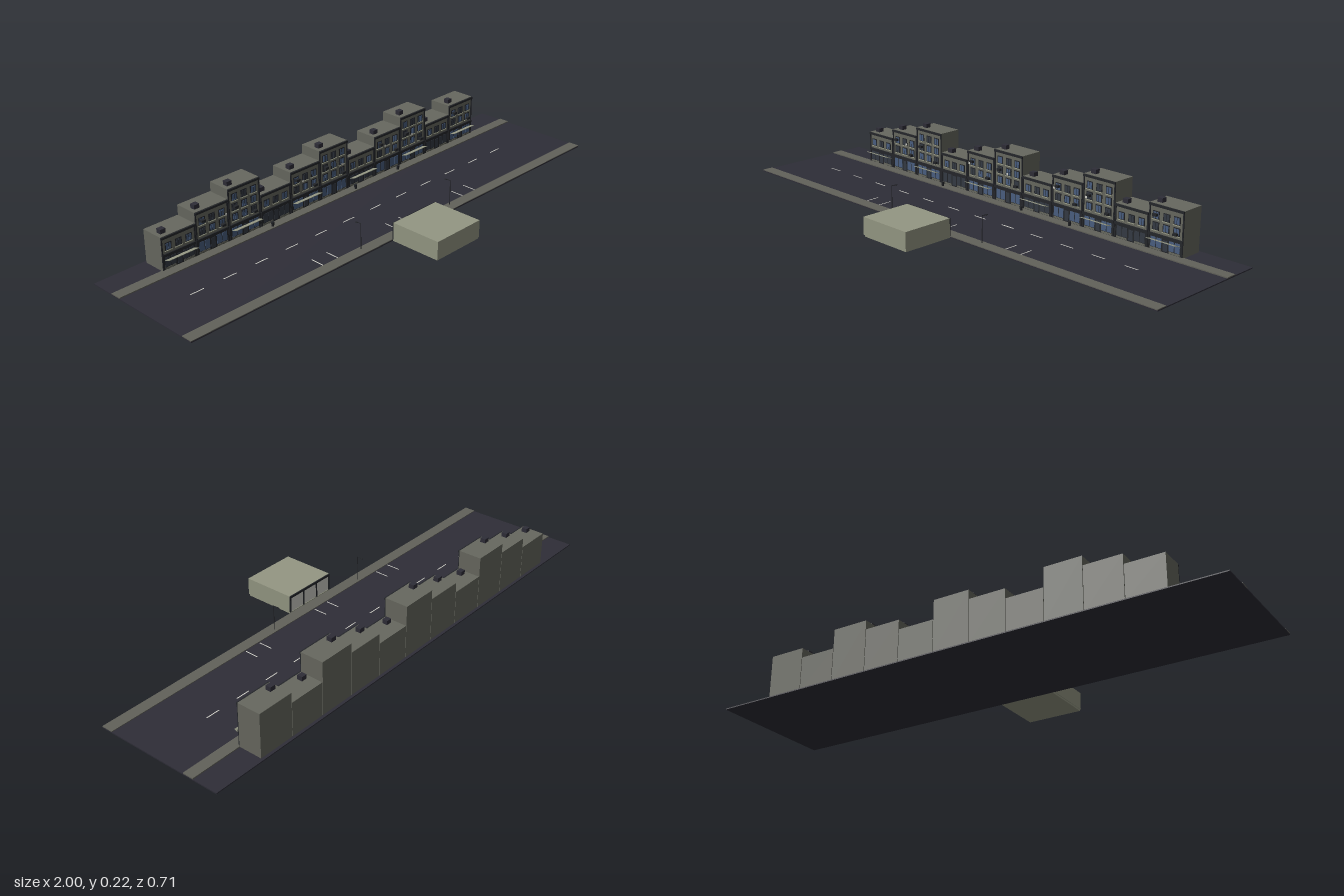
import * as THREE from 'three';

const mat = (name, color) => new THREE.MeshStandardMaterial({ name, color });

export function createModel() {
  const M = {
    road: mat('asphalt', 0x2e2d37),
    walk: mat('pavement', 0x62625a),
    wall: mat('wall stone', 0x67685f),
    shop: mat('pale khaki', 0x949783),
    trim: mat('dark trim', 0x24262a),
    glass: mat('blue glass', 0x4a5f80),
    dim: mat('dim glass', 0x343a44),
    pale: mat('pale paint', 0xd0d0c8),
  };
  const root = new THREE.Group();
  root.name = 'street';

  // box given by its min and max corners
  const box = (parent, name, m, x0, x1, y0, y1, z0, z1) => {
    const mesh = new THREE.Mesh(new THREE.BoxGeometry(x1 - x0, y1 - y0, z1 - z0), m);
    mesh.position.set((x0 + x1) / 2, (y0 + y1) / 2, (z0 + z1) / 2);
    mesh.name = name;
    parent.add(mesh);
    return mesh;
  };
  const group = (name) => {
    const g = new THREE.Group();
    g.name = name;
    root.add(g);
    return g;
  };

  // ground and pavements
  box(root, 'road', M.road, -1, 1, 0, 0.004, -0.357, 0.148);
  box(root, 'rearPavement', M.walk, -1, 1, 0.004, 0.008, -0.258, -0.216);
  box(root, 'frontPavement', M.walk, -1, 1, 0.004, 0.007, 0.104, 0.148);

  // lane dashes and parking lines
  const marks = group('roadMarkings');
  for (let k = 0; k < 12; k++) {
    const x = -0.8 + k * 0.139;
    box(marks, 'laneDash', M.pale, x - 0.028, x + 0.028, 0.004, 0.0046, -0.0735, -0.0695);
  }
  for (const x of [-0.4, -0.33, -0.037, 0.032, 0.326, 0.396])
    box(marks, 'parkingLine', M.pale, x - 0.0018, x + 0.0018, 0.004, 0.0046, 0.045, 0.1);

  // terraced buildings
  const F = -0.255; // facade plane
  const window3 = (g, x, y, m) => {
    box(g, 'windowFrame', M.trim, x - 0.0135, x + 0.0135, y - 0.015, y + 0.014, F, F + 0.002);
    for (const s of [-1, 1])
      box(g, 'windowPane', m, x + s * 0.0055 - 0.0045, x + s * 0.0055 + 0.0045, y - 0.012, y + 0.011, F + 0.002, F + 0.003);
    box(g, 'windowSill', M.shop, x - 0.015, x + 0.015, y - 0.017, y - 0.0145, F, F + 0.005);
  };

  for (let i = 0; i < 11; i++) {
    const g = group('building' + (i + 1));
    const type = i % 3, H = [0.132, 0.17, 0.206][type];
    const cx = (i - 5) * 0.145, w = 0.0715;
    box(g, 'walls', M.wall, cx - w, cx + w, 0.004, H, -0.346, F);
    box(g, 'chimney', M.road, cx - 0.056, cx - 0.034, H, H + 0.016, -0.294, -0.273);

    // cornices and corner strips
    box(g, 'cornice', M.trim, cx - w, cx + w, H - 0.009, H - 0.001, F, F + 0.006);
    box(g, 'shopFascia', M.trim, cx - w, cx + w, 0.057, 0.066, F, F + 0.005);
    for (const s of [-1, 1])
      box(g, 'cornerStrip', M.trim, cx + s * 0.069 - 0.0025, cx + s * 0.069 + 0.0025, 0.008, H - 0.009, F, F + 0.003);

    // upper windows
    for (let r = 0; r <= type; r++) {
      const y = 0.092 + r * 0.0385;
      for (let c = -1; c <= 1; c++)
        window3(g, cx + c * 0.043, y, (i + r * 2 + c) % 3 ? M.glass : M.dim);
    }
    if (type > 0) {
      box(g, 'airConditioner', M.trim, cx + 0.035, cx + 0.051, 0.08, 0.089, F, F + 0.014);
      box(g, 'airConditioner', M.trim, cx - 0.051, cx - 0.035, 0.128, 0.137, F, F + 0.014);
    }

    // shopfront: two glazed bays and a central door
    box(g, 'shopFrame', M.trim, cx - 0.066, cx + 0.066, 0.008, 0.057, F, F + 0.002);
    const pane = type ? M.glass : M.dim;
    for (const s of [-1, 1])
      for (const o of [0.026, 0.05])
        box(g, 'shopPane', pane, cx + s * o - 0.0105, cx + s * o + 0.0105, 0.018, 0.053, F + 0.002, F + 0.003);
    box(g, 'doorPane', M.dim, cx - 0.009, cx + 0.009, 0.012, 0.05, F + 0.002, F + 0.003);
    box(g, 'stallRiser', M.wall, cx + 0.016, cx + 0.062, 0.009, 0.016, F + 0.002, F + 0.003);
    box(g, 'stallRiser', M.wall, cx - 0.062, cx - 0.016, 0.009, 0.016, F + 0.002, F + 0.003);

    // awning on every other shop
    if (i % 2 === 0) {
      const a = box(g, 'awning', M.shop, cx - 0.062, cx + 0.062, 0.047, 0.0485, F, F + 0.029);
      a.rotation.x = -0.33;
    }
  }

  // hanging plates on thin brackets
  const signs = group('hangingPlates');
  for (const x of [-0.54, -0.18, 0.02, 0.25, 0.4]) {
    box(signs, 'plate', M.pale, x - 0.004, x + 0.004, 0.129, 0.137, -0.2265, -0.2255);
    box(signs, 'bracket', M.trim, x - 0.0006, x + 0.0006, 0.1365, 0.1375, F, -0.226);
  }

  // bins on the rear pavement
  for (const x of [-0.33, 0.09, 0.325]) {
    const bin = new THREE.Mesh(new THREE.CylinderGeometry(0.006, 0.005, 0.016, 12), M.trim);
    bin.position.set(x, 0.016, -0.229);
    bin.name = 'bin';
    root.add(bin);
  }

  // street lamps leaning over the road
  for (const x of [-0.235, 0.232]) {
    const g = group('streetLamp');
    const pole = new THREE.Mesh(new THREE.CylinderGeometry(0.001, 0.0015, 0.098, 8), M.trim);
    pole.position.set(x, 0.056, 0.117);
    pole.name = 'pole';
    g.add(pole);
    box(g, 'arm', M.trim, x - 0.001, x + 0.001, 0.104, 0.106, 0.1, 0.118);
    box(g, 'lampHead', M.trim, x - 0.003, x + 0.003, 0.1025, 0.105, 0.092, 0.102);
  }

  // detached shop facing the road
  const k = group('cornerShop');
  box(k, 'floor', M.shop, -0.108, 0.108, 0.001, 0.008, 0.15, 0.354);
  box(k, 'shopWalls', M.shop, -0.11, 0.11, 0.008, 0.074, 0.153, 0.357);
  box(k, 'frontPanel', M.pale, -0.104, 0.104, 0.009, 0.066, 0.151, 0.153);
  box(k, 'frontBeam', M.trim, -0.11, 0.11, 0.065, 0.0735, 0.149, 0.153);
  for (const x of [-0.107, -0.036, 0.036, 0.107])
    box(k, 'frontPost', M.trim, x - 0.003, x + 0.003, 0.008, 0.066, 0.149, 0.153);

  return root;
}
